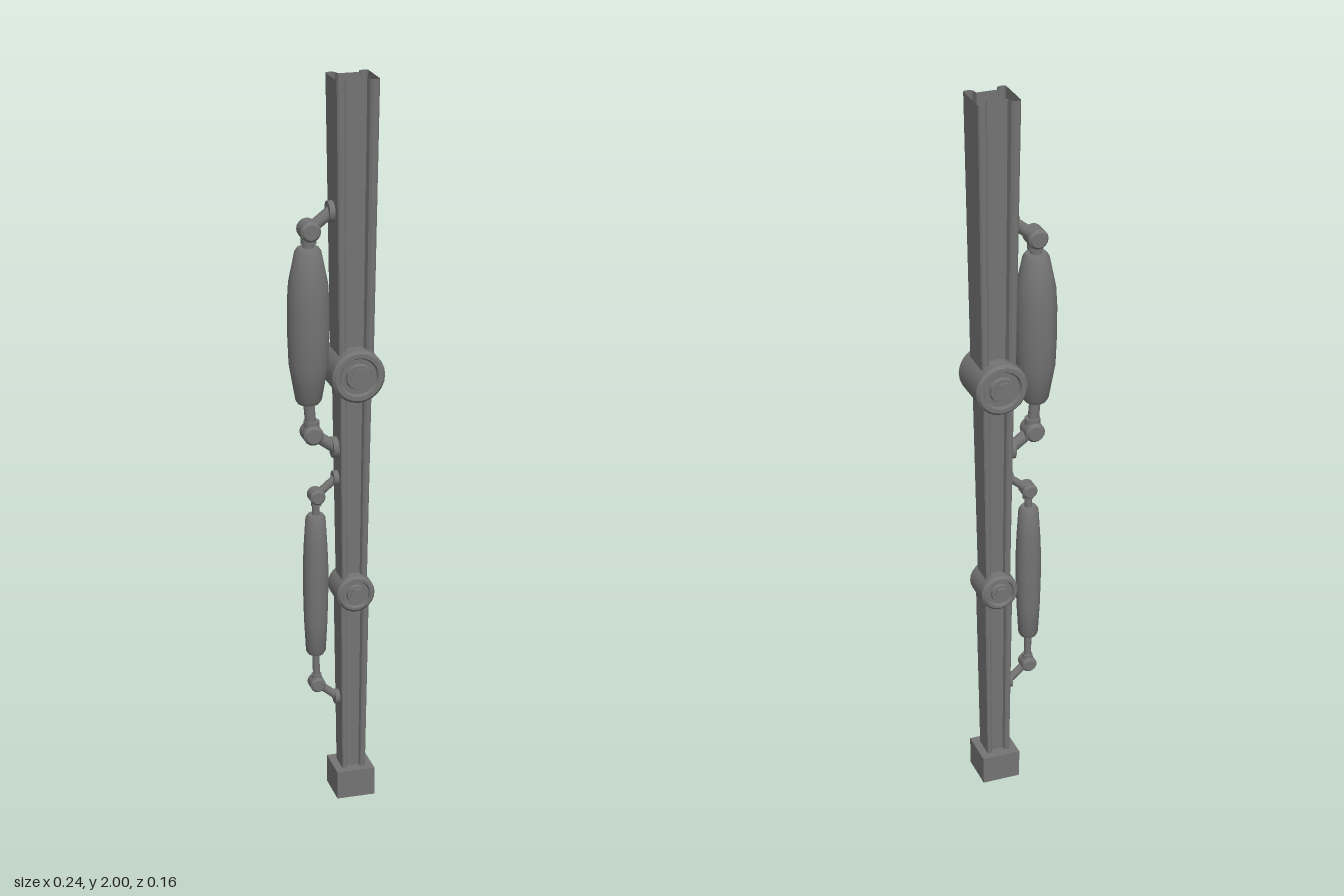
import * as THREE from 'three';
import { toCreasedNormals } from 'three/addons/utils/BufferGeometryUtils.js';

const BEAM_X = 0.049;
const DARK_GREY = 0x737373;
const material = new THREE.MeshStandardMaterial({ color: DARK_GREY });
const thin = new THREE.MeshStandardMaterial({ color: DARK_GREY, side: THREE.DoubleSide });

function mesh(name, geometry, mat = material) {
  const m = new THREE.Mesh(geometry, mat);
  m.name = name;
  return m;
}

// Lathe around y from [radius, height] pairs, bottom to top
function lathe(points, sides, crease = 0.5) {
  const g = new THREE.LatheGeometry(points.map(([r, y]) => new THREE.Vector2(r, y)), sides);
  return toCreasedNormals(g, crease);
}

// Cylinder running from one point to another
function rod(name, a, b, radius, sides = 12) {
  const dir = b.clone().sub(a);
  const m = mesh(name, new THREE.CylinderGeometry(radius, radius, dir.length(), sides));
  m.position.copy(a).addScaledVector(dir, 0.5);
  m.quaternion.setFromUnitVectors(new THREE.Vector3(0, 1, 0), dir.normalize());
  return m;
}

// Open tapered beam with chamfered flanges and a channel in its front and back
function beam(name, y0, y1, half0, half1) {
  const left = [[-1, 0.92], [-0.92, 1], [-0.7, 1], [-0.57, 0.9], [-0.5, 0.6]];
  const front = [...left, ...left.map(([x, z]) => [-x, z]).reverse()];
  const profile = [...front, ...front.map(([x, z]) => [-x, -z])];
  const pos = [];
  profile.forEach((p, i) => {
    const q = profile[(i + 1) % profile.length];
    const at = ([x, z], h, y) => [BEAM_X + x * h, y, z * h];
    const a = at(p, half0, y0), b = at(q, half0, y0), c = at(q, half1, y1), d = at(p, half1, y1);
    pos.push(...a, ...b, ...c, ...a, ...c, ...d);
  });
  const g = new THREE.BufferGeometry();
  g.setAttribute('position', new THREE.Float32BufferAttribute(pos, 3));
  g.computeVertexNormals();
  return mesh(name, g, thin);
}

// Pivot drum lying along z, with a ringed face and a hexagonal bolt at each end
function joint(name, y, r, halfLength, boltHalf, boltR) {
  const group = new THREE.Group();
  group.name = name;
  const h = halfLength;
  const end = [[r, h - 0.007], [r - 0.007, h], [r * 0.74, h], [r * 0.68, h - 0.008], [r * 0.5, h - 0.008], [r * 0.46, h], [0, h]];
  const start = end.map(([x, z]) => [x, -z]).reverse();
  const drum = mesh('jointDrum', lathe([...start, ...end], 24));
  drum.rotation.x = Math.PI / 2;
  group.add(drum);
  const bolt = mesh('jointBolt', toCreasedNormals(new THREE.CylinderGeometry(boltR, boltR, boltHalf * 2, 6), 0.5));
  bolt.rotation.set(Math.PI / 2, Math.PI / 6, 0);
  group.add(bolt);
  group.position.set(BEAM_X, y, 0);
  return group;
}

// Piston beside the beam: swollen body, end rods, pivots and angled mounts
function piston(name, s) {
  const group = new THREE.Group();
  group.name = name;
  const [y0, y1] = s.body;
  const len = y1 - y0;
  const e = s.endR, w = s.midR;
  const body = mesh('pistonBody', lathe([
    [0, 0], [e * 0.8, 0], [e, len * 0.025], [w * 0.94, len * 0.25], [w, len * 0.45],
    [w, len * 0.65], [w * 0.94, len * 0.78], [e, len * 0.975], [e * 0.8, len], [0, len],
  ], 16, 0.6));
  body.position.set(s.x, y0, 0);
  group.add(body);

  [[s.bottom, y0, 1], [s.top, y1, -1]].forEach(([end, bodyY, up]) => {
    const pivot = new THREE.Vector3(end.x, end.y, 0);
    const mount = new THREE.Vector3(end.mountX, end.mountY, 0);
    group.add(rod('pistonRod', pivot, new THREE.Vector3(s.x, bodyY + up * 0.01, 0), s.rodR));
    group.add(rod('rodCollar', pivot, new THREE.Vector3(end.x, end.y + up * s.pivotR * 1.3, 0), s.rodR * 1.4));
    // short rounded pivot lying along z
    const r = s.pivotR, h = s.pivotR * 1.1;
    const knuckle = mesh('pivot', lathe([
      [0, -h], [r * 0.75, -h], [r, -h * 0.75], [r, h * 0.75], [r * 0.75, h], [0, h],
    ], 16));
    knuckle.rotation.x = Math.PI / 2;
    knuckle.position.copy(pivot);
    group.add(knuckle);
    group.add(rod('mountStrut', pivot, mount, s.strutR));
    // round plate against the side of the beam
    group.add(rod('mountPlate', mount.clone().setX(end.mountX - 0.009), mount.clone().setX(end.mountX + 0.012), s.plateR, 16));
  });
  return group;
}

export function createModel() {
  const model = new THREE.Group();
  model.name = 'jointedLeg';

  // Three beam sections
  model.add(beam('upperBeam', 1.227, 2, 0.046, 0.056));
  model.add(beam('middleBeam', 0.607, 1.227, 0.034, 0.043));
  model.add(beam('lowerBeam', 0.06, 0.607, 0.032, 0.039));

  // Pivot joints between the sections
  model.add(joint('upperJoint', 1.227, 0.071, 0.072, 0.078, 0.026));
  model.add(joint('lowerJoint', 0.607, 0.052, 0.052, 0.063, 0.02));

  // Foot block
  const foot = mesh('foot', new THREE.BoxGeometry(0.106, 0.08, 0.108));
  foot.position.set(BEAM_X, 0.04, 0);
  model.add(foot);

  // Pistons spanning the joints
  model.add(piston('upperPiston', {
    x: -0.068, body: [1.145, 1.565], endR: 0.035, midR: 0.055, rodR: 0.015, pivotR: 0.027, strutR: 0.016, plateR: 0.028,
    top: { x: -0.066, y: 1.61, mountX: -0.008, mountY: 1.655 },
    bottom: { x: -0.06, y: 1.06, mountX: 0.003, mountY: 1.015 },
  }));
  model.add(piston('lowerPiston', {
    x: -0.05, body: [0.425, 0.83], endR: 0.027, midR: 0.034, rodR: 0.01, pivotR: 0.021, strutR: 0.011, plateR: 0.02,
    top: { x: -0.048, y: 0.883, mountX: 0.006, mountY: 0.928 },
    bottom: { x: -0.048, y: 0.335, mountX: 0.01, mountY: 0.287 },
  }));

  return model;
}
